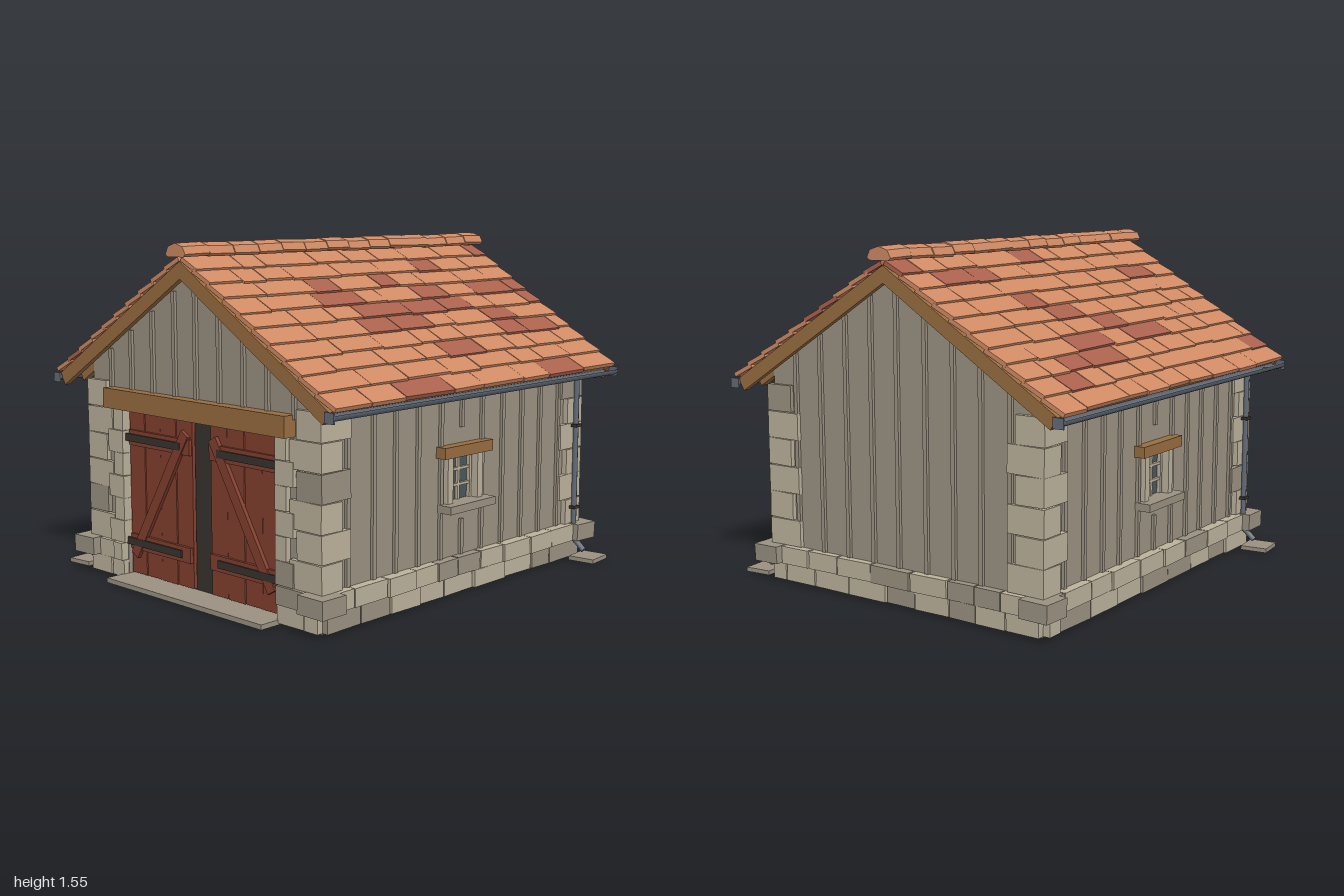
import * as THREE from 'three';

const mat = (name, color, side = THREE.FrontSide) => {
  const m = new THREE.MeshStandardMaterial({ color, side });
  m.name = name;
  return m;
};
const M = {
  boards: mat('weatheredBoards', 0x9b9282),
  stone: mat('paleStone', 0xbcb29c),
  greyStone: mat('greyStone', 0x9a9181),
  tile: mat('clayTile', 0xcf8a64),
  darkTile: mat('darkClayTile', 0xa9614d),
  wood: mat('timber', 0x986d40),
  zinc: mat('zinc', 0x636c78, THREE.DoubleSide),
  glass: mat('glass', 0x4b575c),
  door: mat('redDoorWood', 0x84402f),
  iron: mat('darkIron', 0x38332f),
};
const RIDGE = 1.47, SLOPE = 0.561, WX = 0.88, WZ = 0.73, T = 0.04;
const roofY = z => RIDGE - Math.abs(z) * Math.tan(SLOPE);
const vecs = pts => pts.map(p => new THREE.Vector2(...p));

// Small seeded random source
let seed = 7;
const rnd = (a = 0, b = 1) => {
  seed = (seed * 16807) % 2147483647;
  return a + (b - a) * (seed / 2147483647);
};
const pickStone = share => (rnd() < share ? M.greyStone : M.stone);

function group(parent, name, turn = 0) {
  const g = new THREE.Group();
  g.name = name;
  g.rotation.y = turn;
  parent.add(g);
  return g;
}

function add(parent, name, geometry, material) {
  const mesh = new THREE.Mesh(geometry, material);
  mesh.name = name;
  parent.add(mesh);
  return mesh;
}

// Box between two extents per axis; tilt adds a slight hand-laid rotation
function box(parent, name, m, x0, x1, y0, y1, z0, z1, tilt = 0) {
  const geo = new THREE.BoxGeometry(Math.abs(x1 - x0), Math.abs(y1 - y0), Math.abs(z1 - z0));
  const mesh = add(parent, name, geo, m);
  mesh.position.set((x0 + x1) / 2, (y0 + y1) / 2, (z0 + z1) / 2);
  if (tilt) mesh.rotation.set(rnd(-tilt, tilt), rnd(-tilt, tilt), rnd(-tilt, tilt));
  return mesh;
}

// Round bar between two points
function bar(parent, name, m, a, b, r) {
  const p = new THREE.Vector3(...a), q = new THREE.Vector3(...b);
  const mesh = add(parent, name, new THREE.CylinderGeometry(r, r, p.distanceTo(q), 8), m);
  mesh.position.copy(p).lerp(q, 0.5);
  mesh.quaternion.setFromUnitVectors(new THREE.Vector3(0, 1, 0), q.sub(p).normalize());
}

// Divide a run into random pieces and call back with the ends of each
function pieces(a, b, min, max, make) {
  while (b - a > max) {
    const end = Math.min(a + rnd(min, max), b - min * 0.5);
    make(a, end);
    a = end;
  }
  make(a, b);
}

function wall(parent, name, pts, hole) {
  const s = new THREE.Shape(vecs(pts));
  if (hole) s.holes.push(new THREE.Path(vecs(hole)));
  return add(parent, name, new THREE.ExtrudeGeometry(s, { depth: T, bevelEnabled: false }), M.boards);
}

// Long wall with battens, window, gutter and downpipe, facing +z
function longSide(root, name, turn) {
  const g = group(root, name, turn);
  wall(g, 'longWall', [[-WX, 0], [WX, 0], [WX, 0.97], [-WX, 0.97]],
    [[-0.085, 0.41], [-0.085, 0.62], [0.085, 0.62], [0.085, 0.41]]).position.z = WZ - T;
  for (let i = -5; i <= 5; i++) {
    const x = i * 0.145 + rnd(-0.006, 0.006);
    for (const [y0, y1] of i ? [[0.17, 0.95]] : [[0.17, 0.33], [0.74, 0.95]])
      box(g, 'batten', M.boards, x - 0.01, x + 0.01, y0, y1, WZ, WZ + 0.014);
  }
  const w = group(g, 'window');
  box(w, 'glass', M.glass, -0.09, 0.09, 0.41, 0.63, WZ - 0.03, WZ - 0.022);
  for (const s of [-1, 1]) {
    box(w, 'windowJamb', M.stone, s * 0.085, s * 0.121, 0.41, 0.625, WZ - 0.03, WZ + 0.03);
    box(w, 'sashStile', M.stone, s * 0.072, s * 0.088, 0.41, 0.625, WZ - 0.024, WZ - 0.005);
  }
  box(w, 'mullion', M.stone, -0.007, 0.007, 0.41, 0.625, WZ - 0.024, WZ - 0.008);
  for (const y of [0.482, 0.553])
    box(w, 'glazingBar', M.stone, -0.085, 0.085, y - 0.006, y + 0.006, WZ - 0.024, WZ - 0.008);
  box(w, 'windowSill', M.greyStone, -0.155, 0.16, 0.38, 0.415, WZ - 0.02, WZ + 0.075);
  box(w, 'windowLintel', M.wood, -0.167, 0.17, 0.62, 0.67, WZ - 0.02, WZ + 0.05, 0.012);
  // Half-round gutter with end caps
  const gutter = add(g, 'gutter', new THREE.CylinderGeometry(0.026, 0.026, 1.96, 8, 1, true, 0, Math.PI), M.zinc);
  gutter.rotation.z = -Math.PI / 2;
  gutter.position.set(0, 0.918, 0.876);
  for (const s of [-1, 1]) box(g, 'gutterEnd', M.zinc, s * 0.976, s * 0.984, 0.885, 0.93, 0.85, 0.9);
  // Downpipe and splash stone
  const p = group(g, 'downpipe'), px = 0.835, pz = 0.768;
  bar(p, 'pipeOutlet', M.zinc, [px, 0.9, 0.876], [px, 0.885, pz], 0.011);
  bar(p, 'pipe', M.zinc, [px, 0.9, pz], [px, 0.09, pz], 0.013);
  bar(p, 'pipeShoe', M.zinc, [px, 0.1, pz], [px, 0.045, 0.83], 0.014);
  for (const y of [0.25, 0.65])
    box(p, 'pipeBracket', M.iron, px - 0.022, px + 0.022, y - 0.007, y + 0.007, 0.74, pz + 0.017);
  box(g, 'splashStone', M.greyStone, px - 0.07, px + 0.07, 0.006, 0.026, 0.79, 0.92).rotation.y = 0.1;
}

// Gable wall facing +x; the door side has an opening
function gable(root, name, turn, hasDoor) {
  const g = group(root, name, turn);
  const eave = roofY(WZ) - 0.03;
  const opening = hasDoor ? [[-0.5, 0], [-0.5, 0.82], [0.5, 0.82], [0.5, 0]] : [];
  const m = wall(g, 'gableWall', [[-WZ, 0], ...opening, [WZ, 0], [WZ, eave], [0, RIDGE - 0.03], [-WZ, eave]]);
  m.rotation.y = Math.PI / 2;
  m.position.x = WX - T;
  for (let i = -4; i <= 4; i++) {
    const z = i * 0.147 + rnd(-0.005, 0.005);
    const y0 = hasDoor && Math.abs(z) < 0.61 ? 0.86 : 0.17;
    box(g, 'batten', M.boards, WX, WX + 0.014, y0, roofY(z) - 0.045, z - 0.01, z + 0.01);
  }
  if (hasDoor) doorway(g);
}

// Double door, surround and threshold on a gable facing +x
function doorway(g) {
  box(g, 'doorBacking', M.iron, 0.835, 0.843, 0.01, 0.83, -0.5, 0.5);
  box(g, 'doorLintel', M.wood, 0.83, 0.94, 0.79, 0.88, -0.59, 0.59, 0.008);
  box(g, 'threshold', M.greyStone, 0.84, 1, 0, 0.022, -0.51, 0.51);
  for (const s of [-1, 1]) {
    const leaf = group(g, 'doorLeaf');
    for (let i = 0; i < 4; i++) {
      const a = 0.06 + i * 0.108;
      box(leaf, 'doorPlank', M.door, 0.848, 0.865 + (i % 2) * 0.003, 0.03, 0.79, s * a, s * (a + 0.104));
    }
    for (const y of [0.18, 0.66]) {
      box(leaf, 'doorLedge', M.door, 0.865, 0.88, y - 0.035, y + 0.035, s * 0.065, s * 0.48);
      box(leaf, 'hingeStrap', M.iron, 0.88, 0.888, y - 0.017, y + 0.017, s * 0.12, s * 0.5);
    }
    box(leaf, 'doorBrace', M.door, 0.868, 0.886, 0.07, 0.77, s * 0.245, s * 0.295).rotation.x = -s * 0.54;
    for (let i = 0; i < 6; i++)
      box(g, 'jambStone', pickStone(0.2), 0.8, 0.905, 0.17 + i * 0.104, 0.272 + i * 0.104,
        s * 0.495, s * (i % 2 ? 0.56 : 0.6), 0.015);
  }
}

// Two courses of footing stones around the building
function plinth(root) {
  const g = group(root, 'plinth');
  for (const [y0, y1, grow] of [[0.008, 0.086, 0], [0.088, 0.168, 0.012]]) for (const s of [-1, 1]) {
    const out = () => grow + rnd(0, 0.012);
    pieces(-0.88, 0.88, 0.13, 0.24, (a, b) => box(g, 'footingStone', pickStone(0.22),
      a + 0.003, b - 0.003, y0, y1, s * (WZ - 0.05), s * (0.758 + out()), 0.012));
    for (const [z0, z1] of s > 0 ? [[-0.74, 0.74]] : [[-0.74, -0.5], [0.5, 0.74]])
      pieces(z0, z1, 0.13, 0.22, (a, b) => box(g, 'footingStone', pickStone(0.22),
        s * (WX - 0.05), s * (0.9 + out()), y0, y1, a + 0.003, b - 0.003, 0.012));
  }
}

// Alternating long and short corner stones above a projecting corner footing
function cornerStones(root) {
  const g = group(root, 'cornerStones');
  for (const sx of [-1, 1]) for (const sz of [-1, 1]) {
    box(g, 'cornerFooting', M.greyStone, sx * 0.815, sx * 0.955, 0.09, 0.17, sz * 0.67, sz * 0.81, 0.03);
    for (let i = 0; i < 6; i++) {
      const lx = i % 2 ? 0.17 : 0.12, lz = i % 2 ? 0.14 : 0.18, y = 0.17 + i * 0.123;
      box(g, 'cornerStone', pickStone(0.12), sx * (0.9 - lx), sx * 0.9, y, y + 0.12,
        sz * (0.755 - lz), sz * 0.755, 0.018);
    }
  }
}

// One roof slope; local +z runs down from the ridge
function roofSlope(root, name, turn) {
  const g = group(root, name);
  g.position.y = RIDGE;
  g.rotation.set(SLOPE, turn, 0, 'YXZ');
  box(g, 'roofDeck', M.wood, -0.945, 0.945, -0.022, -0.004, 0, 1.01);
  for (const s of [-1, 1]) box(g, 'bargeBoard', M.wood, s * 0.943, s * 0.971, -0.062, 0, 0, 1.02);
  for (let i = -4; i <= 4; i++)
    box(g, 'rafter', M.wood, i * 0.215 - 0.018, i * 0.215 + 0.018, -0.06, -0.02, 0, 1);
  for (let r = 1; r <= 10; r++) pieces(-0.97, 0.975, 0.13, 0.33, (a, b) => {
    const low = r * 0.1035 + rnd(-0.006, 0.006);
    const tile = box(g, 'roofTile', rnd() < 0.17 ? M.darkTile : M.tile,
      a + 0.002, b - 0.002, 0.008, 0.027, Math.max(0, low - 0.118), low);
    tile.rotation.set(-0.1 + rnd(-0.015, 0.015), rnd(-0.012, 0.012), rnd(-0.008, 0.008));
  });
}

// Faceted ridge caps laid end to end
function ridge(root) {
  const g = group(root, 'ridgeCaps'), n = 14, len = 1.99 / n;
  const s = new THREE.Shape(vecs([[-0.05, -0.03], [0.05, -0.03], [0.063, -0.018], [0.046, 0.014],
    [0, 0.028], [-0.046, 0.014], [-0.063, -0.018]]));
  const geo = new THREE.ExtrudeGeometry(s, { depth: len - 0.002, bevelEnabled: false });
  geo.translate(0, 0, -len / 2).rotateY(Math.PI / 2);
  for (let i = 0; i < n; i++) {
    const cap = add(g, 'ridgeCap', geo, M.tile);
    cap.position.set(-0.995 + (i + 0.5) * len, 1.52 + rnd(-0.003, 0.003), rnd(-0.003, 0.003));
    cap.rotation.set(rnd(-0.04, 0.04), rnd(-0.02, 0.02), rnd(-0.03, 0.03));
  }
}

export function createModel() {
  const root = new THREE.Group();
  root.name = 'barn';
  longSide(root, 'frontSide', 0);
  longSide(root, 'backSide', Math.PI);
  gable(root, 'plainGable', 0, false);
  gable(root, 'doorGable', Math.PI, true);
  plinth(root);
  cornerStones(root);
  roofSlope(root, 'frontRoof', 0);
  roofSlope(root, 'backRoof', Math.PI);
  ridge(root);
  return root;
}
